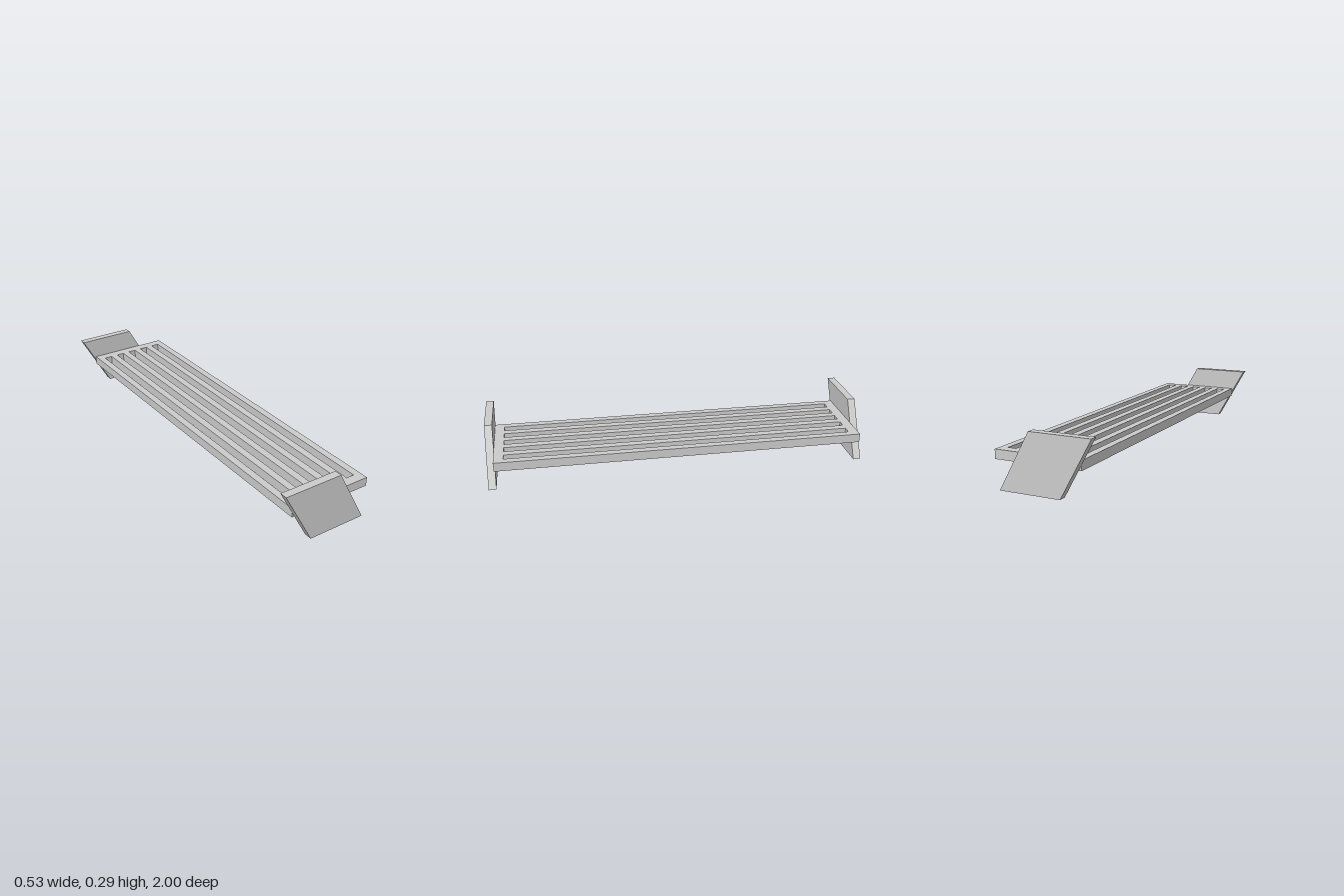
import * as THREE from 'three';

const material = new THREE.MeshStandardMaterial({ color: 0xcccccc, flatShading: true });

function polygon(points) {
  return new THREE.Shape(points.map(([x, y]) => new THREE.Vector2(x, y)));
}

function rectangle(x0, x1, y0, y1) {
  return [[x0, y0], [x1, y0], [x1, y1], [x0, y1]];
}

function extrude(name, shape, depth) {
  const geometry = new THREE.ExtrudeGeometry(shape, { depth, bevelEnabled: false });
  const mesh = new THREE.Mesh(geometry, material);
  mesh.name = name;
  return mesh;
}

export function createModel() {
  const model = new THREE.Group();
  model.name = 'slattedBench';

  // Slatted deck: one slab with five long slots
  const left = -0.19, right = 0.262, halfLength = 0.96;
  const rail = 0.038, slat = 0.039, slots = 5;
  const slotWidth = (right - left - 2 * rail - (slots - 1) * slat) / slots;
  const deckShape = polygon(rectangle(left, right, -halfLength, halfLength));
  for (let i = 0; i < slots; i++) {
    const x = left + rail + i * (slotWidth + slat);
    deckShape.holes.push(polygon(rectangle(x, x + slotWidth, -0.91, 0.91)));
  }
  const deck = extrude('slattedDeck', deckShape, 0.047);
  deck.rotation.x = -Math.PI / 2;
  deck.position.y = 0.131;
  model.add(deck);

  // Leaning parallelogram plates at both ends
  const plateShape = polygon([[-0.103, 0], [0.213, 0], [0.052, 0.29], [-0.264, 0.29]]);
  for (const [name, z] of [['frontEndPlate', 0.96], ['backEndPlate', -1]]) {
    const plate = extrude(name, plateShape, 0.04);
    plate.position.z = z;
    model.add(plate);
  }

  return model;
}
